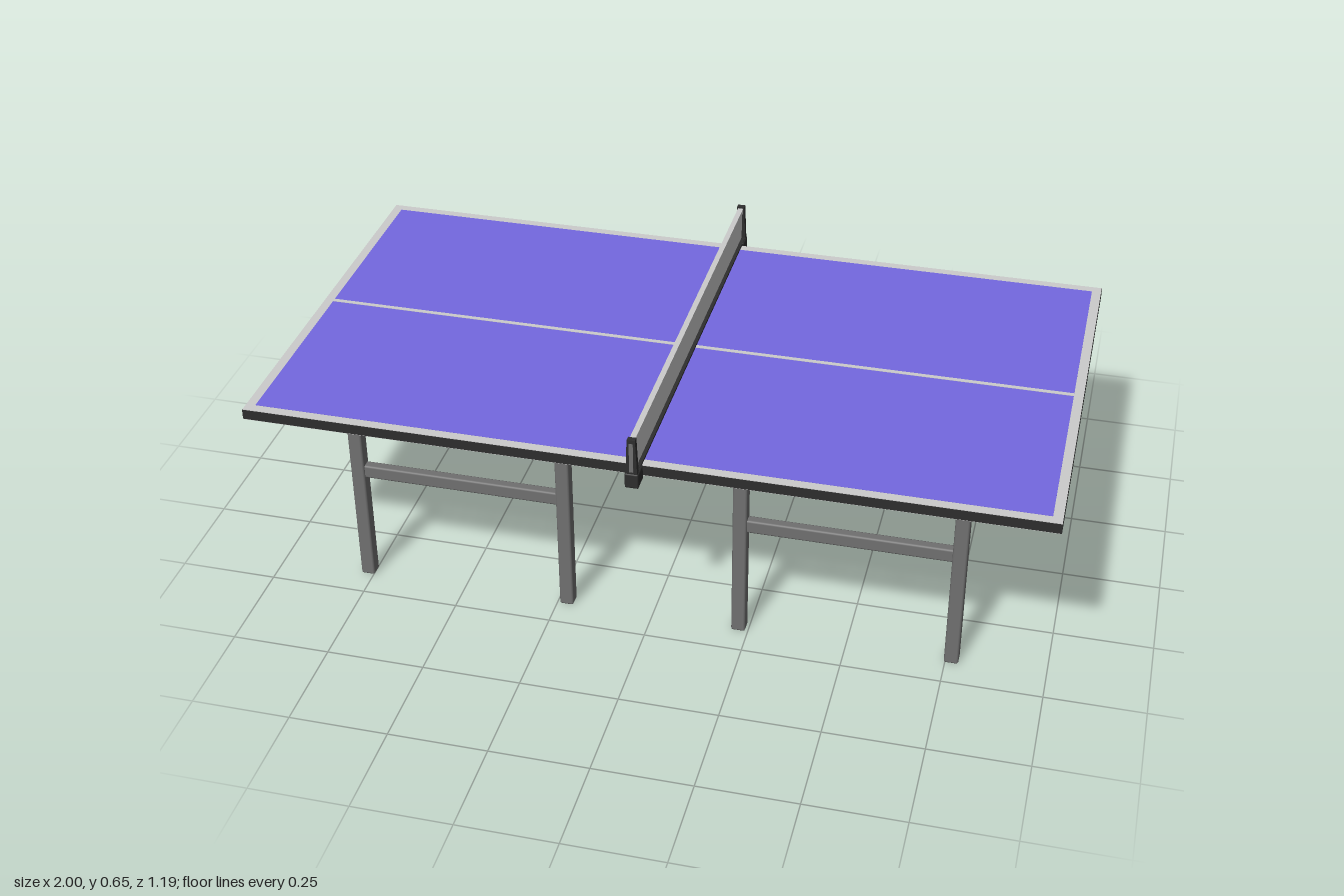
import * as THREE from 'three';
import { RoundedBoxGeometry } from 'three/addons/geometries/RoundedBoxGeometry.js';

const material = (color) => new THREE.MeshStandardMaterial({ color });

export function createModel() {
  const root = new THREE.Group();
  root.name = 'tableTennisTable';

  const blue = material(0x7468e0);
  const white = material(0xcccccc);
  const black = material(0x2e2e2e);
  const steel = material(0x707070);

  const add = (parent, name, geometry, mat, x = 0, y = 0, z = 0) => {
    const mesh = new THREE.Mesh(geometry, mat);
    mesh.name = name;
    mesh.position.set(x, y, z);
    parent.add(mesh);
    return mesh;
  };
  const box = (parent, name, mat, size, pos) =>
    add(parent, name, new THREE.BoxGeometry(...size), mat, ...pos);
  const group = (name, parent = root) => {
    const g = new THREE.Group();
    g.name = name;
    parent.add(g);
    return g;
  };

  // Table top: dark edge, with border and blue panel on both faces
  const top = group('tableTop');
  box(top, 'edge', black, [2, 0.026, 1.09], [0, 0.54, 0]);
  for (const [side, y] of [['upper', 0.5535], ['lower', 0.5265]]) {
    box(top, side + 'Border', white, [1.998, 0.002, 1.088], [0, y, 0]);
    box(top, side + 'Panel', blue, [1.95, 0.003, 1.04], [0, y, 0]);
  }
  box(top, 'centreLine', white, [1.95, 0.002, 0.012], [0, 0.555, 0]);

  // Legs in pairs, each pair joined by a rail
  const legGeometry = new RoundedBoxGeometry(0.036, 0.53, 0.036, 1, 0.005);
  const railGeometry = new RoundedBoxGeometry(0.52, 0.036, 0.026, 1, 0.005);
  for (const sx of [-1, 1]) {
    for (const sz of [-1, 1]) {
      const frame = group('legFrame');
      for (const x of [0.225, 0.765]) {
        add(frame, 'leg', legGeometry, steel, sx * x, 0.265, sz * 0.41);
      }
      add(frame, 'rail', railGeometry, steel, sx * 0.495, 0.325, sz * 0.41);
    }
  }

  // Net with its tapes, and the bar that carries it under the top
  const net = group('net');
  box(net, 'mesh', white, [0.008, 0.08, 1.166], [0, 0.598, 0]);
  box(net, 'topTape', white, [0.014, 0.014, 1.166], [0, 0.644, 0]);
  box(net, 'topCord', black, [0.009, 0.002, 1.1], [0, 0.6365, 0]);
  box(net, 'bottomTape', black, [0.026, 0.006, 1.17], [0, 0.558, 0]);
  box(net, 'underBar', black, [0.026, 0.012, 1.18], [0, 0.527, 0]);

  // Posts taper towards the top; clamps grip the table edge
  const postShape = new THREE.Shape([
    [-0.016, 0.52], [0.016, 0.52], [0.01, 0.655], [-0.01, 0.655],
  ].map(([x, y]) => new THREE.Vector2(x, y)));
  const postGeometry = new THREE.ExtrudeGeometry(postShape, { depth: 0.014, bevelEnabled: false });
  for (const s of [-1, 1]) {
    add(net, 'post', postGeometry, black, 0, 0, s * 0.586 - 0.007);
    add(net, 'clamp', new RoundedBoxGeometry(0.034, 0.04, 0.046, 1, 0.004), black, 0, 0.54, s * 0.572);
    box(net, 'postInset', steel, [0.01, 0.08, 0.002], [0, 0.605, s * 0.593]);
  }
  return root;
}
